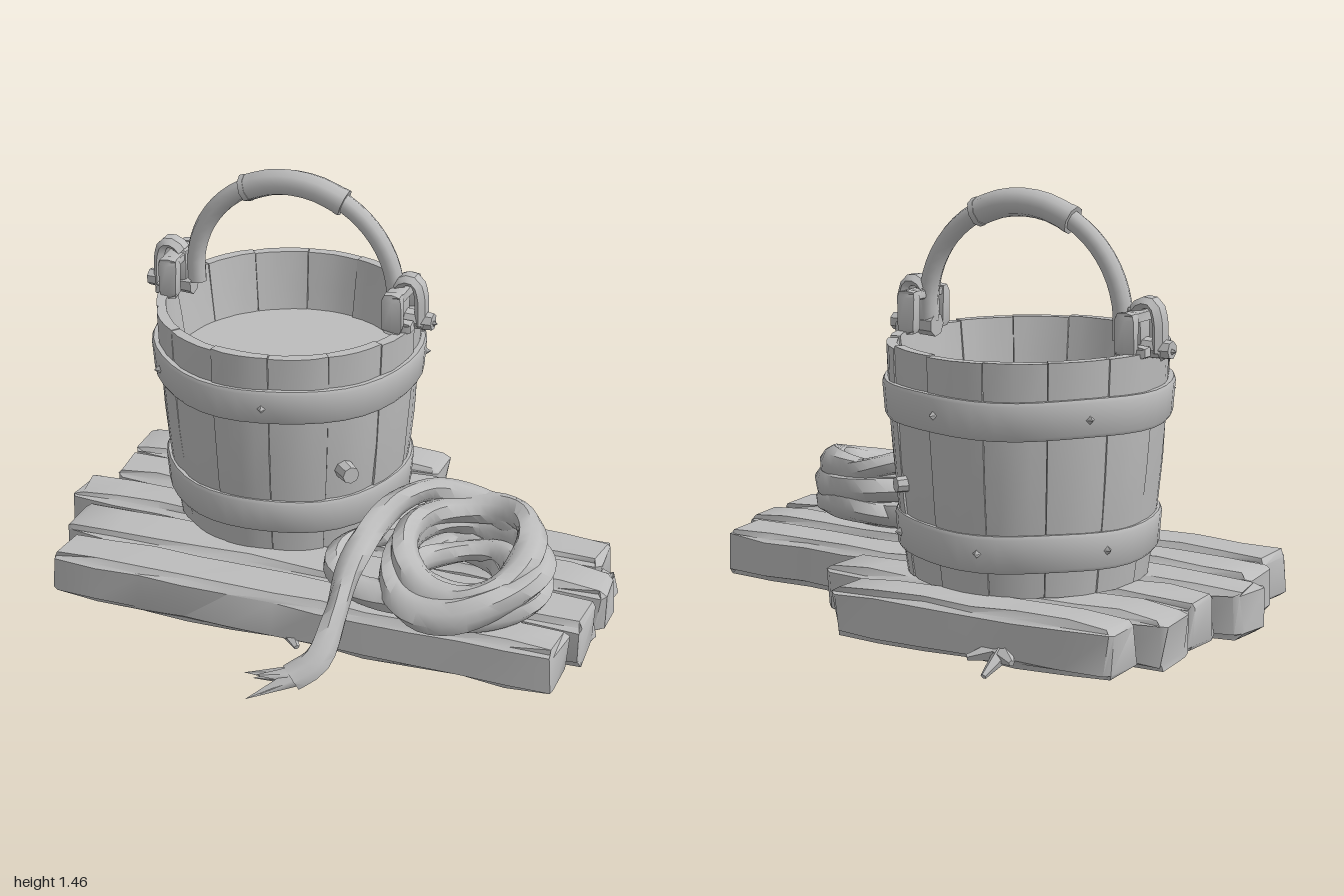
import * as THREE from 'three';
import { toCreasedNormals } from 'three/addons/utils/BufferGeometryUtils.js';

const CX = -0.25, CZ = -0.245; // bucket axis

// Repeatable noise in -1..1 from a position, so shared corners stay together
function noise(x, y, z, k) {
  const q = (v) => Math.round(v * 500) / 500;
  const s = Math.sin(q(x) * 127.1 + q(y) * 311.7 + q(z) * 74.7 + k * 53.3) * 43758.5453;
  return (s - Math.floor(s)) * 2 - 1;
}

// Move every vertex by a rule, then restore normals with sharp creases
function warp(geo, rule, crease = 0.6) {
  const p = geo.attributes.position, v = new THREE.Vector3();
  for (let i = 0; i < p.count; i++) {
    v.fromBufferAttribute(p, i);
    rule(v, i);
    p.setXYZ(i, v.x, v.y, v.z);
  }
  return toCreasedNormals(geo, crease);
}

export function createModel() {
  const root = new THREE.Group();
  const grey = new THREE.MeshStandardMaterial({ color: 0xbcbcbc });
  grey.name = 'weathered grey';
  const greyOpen = new THREE.MeshStandardMaterial({ color: 0xbcbcbc, side: THREE.DoubleSide });
  greyOpen.name = 'weathered grey open';

  const add = (name, geo, parent = root, mat = grey) => {
    const m = new THREE.Mesh(geo, mat);
    m.name = name;
    parent.add(m);
    return m;
  };
  const group = (name, parent = root) => {
    const g = new THREE.Group();
    g.name = name;
    parent.add(g);
    return g;
  };
  const curveOf = (points, closed = false) =>
    new THREE.CatmullRomCurve3(points.map((p) => new THREE.Vector3(...p)), closed);

  // Worn block with rounded-off edges and chipped ends
  const block = (w, h, d, nx, k, amp, endAmp, bevel) => warp(new THREE.BoxGeometry(w, h, d, nx, 3, 3), (v) => {
    const { x, y, z } = v;
    const ex = Math.abs(x) > w / 2 - 1e-4, ey = Math.abs(y) > h / 2 - 1e-4, ez = Math.abs(z) > d / 2 - 1e-4;
    if (!ey) v.y *= 2.1;
    if (!ez) v.z *= 2.1;
    if (ey && ez) { v.y -= Math.sign(y) * bevel; v.z -= Math.sign(z) * bevel; }
    if (ex && (ey || ez)) v.x -= Math.sign(x) * bevel;
    if (ex && ey) v.y -= Math.sign(y) * bevel * 0.5;
    if (ex && ez) v.z -= Math.sign(z) * bevel * 0.5;
    v.x += noise(x, y, z, k) * (ex ? endAmp : amp);
    v.y += noise(x, y, z, k + 1) * amp;
    v.z += noise(x, y, z, k + 2) * amp;
  }, 0.7);

  // Pallet planks: [x min, x max, z min, z max, yaw]
  const pallet = group('pallet');
  [[-0.875, 0.945, 0.248, 0.44, 0], [-0.915, 0.985, 0.03, 0.243, 0], [-0.995, 0.99, -0.172, 0.015, 0],
    [-0.925, 0.92, -0.372, -0.178, 0], [-0.935, 0.335, -0.59, -0.378, 0], [-0.85, 0.175, -0.775, -0.592, 0.03],
  ].forEach(([x0, x1, z0, z1, yaw], i) => {
    const m = add('plank', block(x1 - x0, 0.178, z1 - z0, Math.round((x1 - x0) * 6), i * 7, 0.006, 0.014, 0.018), pallet);
    m.position.set((x0 + x1) / 2, 0.122, (z0 + z1) / 2);
    m.rotation.y = yaw;
  });
  // Broken tongue at the ragged plank end
  add('plankTongue', block(0.12, 0.1, 0.08, 2, 71, 0.01, 0.02, 0.015), pallet).position.set(0.9, 0.1, -0.225);

  // Splinters torn from the plank edges: [x, y, z, length, yaw, pitch]
  [[-0.46, 0.06, -0.78, 0.16, 0.1, 0.5], [-0.41, 0.07, -0.77, 0.12, 0.9, 0.2], [-0.49, 0.07, -0.775, 0.1, -0.9, 0.1],
    [0.02, 0.06, 0.42, 0.1, 2.4, 0.3], [0.9, 0.05, -0.22, 0.12, 1.7, 0.2], [0.28, 0.05, -0.5, 0.12, 1.5, 0.2],
  ].forEach(([x, y, z, len, yaw, pitch]) => {
    const geo = new THREE.CylinderGeometry(0.01, 0.04, len, 5).rotateX(-Math.PI / 2 - pitch).rotateY(-yaw);
    add('splinter', toCreasedNormals(geo, 0.3), pallet).position.set(x, y, z);
  });

  const bucket = group('bucket');
  bucket.position.set(CX, 0, CZ);
  const radiusAt = (y) => 0.4 + (y - 0.21) * 0.085 + 0.012 * Math.sin(((y - 0.21) / 0.77) * Math.PI);

  // Staves: a box bent into a slice of the bucket wall, thinner toward the rim
  const staves = 14;
  for (let i = 0; i < staves; i++) {
    const top = 0.977 + noise(i, 1, 2, 3) * 0.006, out = noise(i, 4, 5, 6) * 0.003;
    const geo = warp(new THREE.BoxGeometry(1, 1, 1, 4, 6, 1), (v) => {
      const edge = Math.abs(v.x) > 0.49;
      const a = ((i + v.x * 0.99) / staves) * Math.PI * 2;
      const y = 0.21 + (v.y + 0.5) * (top - 0.21);
      const r = radiusAt(y) + out - (v.z > 0 ? (edge ? 0.003 : 0) : 0.036 + (0.977 - y) * 0.1);
      const chip = noise(a, y, v.z, 9) * 0.002;
      v.set(Math.sin(a) * (r + chip), y, Math.cos(a) * (r + chip));
    }, 0.5);
    add('stave', geo, bucket);
  }

  // Liner closes the gaps between staves
  const liner = [[0.385, 0.22], [0.45, 0.96]].map(([r, y]) => new THREE.Vector2(r, y));
  add('liner', new THREE.LatheGeometry(liner, 48), bucket, greyOpen);
  add('bucketBase', new THREE.CylinderGeometry(0.39, 0.385, 0.03, 32), bucket).position.y = 0.235;
  add('water', new THREE.CircleGeometry(0.42, 40).rotateX(-Math.PI / 2), bucket).position.y = 0.765;

  // Hoops with rivets: [bottom, top, lower radius, upper radius, rivet angles]
  [[0.735, 0.86, 0.465, 0.481, [-0.85, 0.18, 1.9, 3.0, 4.1]], [0.295, 0.42, 0.425, 0.441, [2.4, 3.3, 4.3]],
  ].forEach(([y0, y1, r0, r1, angles], k) => {
    const profile = [[r0 - 0.03, y0], [r0, y0], [r0 + 0.008, y0 + 0.012], [r1, y1 - 0.012], [r1 - 0.006, y1], [r0 - 0.03, y1]];
    const geo = new THREE.LatheGeometry(profile.map(([r, y]) => new THREE.Vector2(r, y)), 40);
    add('hoop', warp(geo, (v) => { v.y += Math.sin(Math.atan2(v.x, v.z) * 5 + k) * 0.004; }), bucket);
    angles.forEach((a) => {
      const rivet = add('rivet', new THREE.ConeGeometry(0.022, 0.03, 4).rotateX(Math.PI / 2), bucket);
      rivet.position.set(Math.sin(a) * r1, (y0 + y1) / 2, Math.cos(a) * r1);
      rivet.rotation.y = a;
    });
  });

  // Bungs on the wall: [angle, height, distance from axis, radius]
  [[0.82, 0.53, 0.45, 0.036], [2.53, 0.53, 0.43, 0.03]].forEach(([a, y, r, size]) => {
    const bung = add('bung', toCreasedNormals(new THREE.CylinderGeometry(size * 0.85, size, 0.08, 8).rotateX(Math.PI / 2), 0.6), bucket);
    bung.position.set(Math.sin(a) * r, y, Math.cos(a) * r);
    bung.rotation.y = a;
  });

  // Lugs holding the handle, the second turned half round
  const hook = curveOf([[0.4, 1.11, 0], [0.425, 1.135, 0], [0.465, 1.132, 0], [0.483, 1.09, 0], [0.487, 0.98, 0]]);
  [0, Math.PI].forEach((turn) => {
    const lug = group('handleLug', bucket);
    lug.rotation.y = turn;
    const part = (name, w, h, d, x, y, z, k) =>
      add(name, block(w, h, d, 2, k, 0.003, 0.003, 0.006), lug).position.set(x, y, z);
    [-1, 1].forEach((s) => {
      part('lugLeg', 0.07, 0.145, 0.045, 0.415, 1.04, s * 0.09, 40);
      part('lugFoot', 0.07, 0.035, 0.05, 0.44, 0.985, s * 0.06, 49);
    });
    part('lugBar', 0.065, 0.035, 0.19, 0.415, 1.095, 0, 51);
    part('lugPost', 0.06, 0.14, 0.06, 0.405, 1.05, 0, 53);
    add('hook', warp(new THREE.TubeGeometry(hook, 10, 0.022, 6), (v) => { v.z *= 1.8; }), lug, greyOpen);
    const pin = add('pin', toCreasedNormals(new THREE.CylinderGeometry(0.03, 0.04, 0.17, 7).rotateZ(-Math.PI / 2), 0.6), lug);
    pin.position.set(0.445, 0.99, 0);
    const tip = add('pinTip', new THREE.ConeGeometry(0.035, 0.05, 5).rotateZ(-Math.PI / 2), lug);
    tip.position.set(0.52, 0.985, 0);
  });

  // Arched handle with a thicker grip
  const arch = (a0, a1, n) => curveOf(Array.from({ length: n }, (_, i) => {
    const a = a0 + ((a1 - a0) * i) / (n - 1);
    return [0.02 + Math.cos(a) * 0.372, 1.06 + Math.sin(a) * 0.365, 0];
  }));
  add('handle', new THREE.TubeGeometry(arch(-0.15, Math.PI + 0.15, 13), 32, 0.034, 8), bucket);
  const gripCurve = arch(1.08, Math.PI - 1.08, 5);
  add('grip', new THREE.TubeGeometry(gripCurve, 8, 0.047, 8), bucket);
  [0, 1].forEach((t) => {
    const end = add('gripEnd', new THREE.CylinderGeometry(0.049, 0.049, 0.02, 8), bucket);
    end.position.copy(gripCurve.getPoint(t));
    end.quaternion.setFromUnitVectors(new THREE.Vector3(0, 1, 0), gripCurve.getTangent(t));
  });

  // Rope: a tube with a twisted, lumpy cross-section
  const rope = group('rope');
  const strand = (name, points, radius, closed) => {
    const curve = curveOf(points, closed);
    const segs = Math.round(curve.getLength() / 0.035), sides = 8;
    const geo = new THREE.TubeGeometry(curve, segs, radius, sides, closed);
    const c = new THREE.Vector3();
    add(name, warp(geo, (v, i) => {
      const ring = Math.floor(i / (sides + 1)), j = (i % (sides + 1)) % sides;
      curve.getPointAt(ring / segs, c);
      const twist = closed ? (Math.PI * 2 * Math.round(segs / 14) * ring) / segs : ring * 0.45;
      v.sub(c).multiplyScalar(1 + 0.14 * Math.cos((j / sides) * Math.PI * 4 + twist)).add(c);
    }, 0.9), rope, closed ? grey : greyOpen);
  };
  // Coils: [centre x, centre z, radius x, radius z, height, thickness, lean]
  [[0.4, 0.16, 0.3, 0.22, 0.265, 0.05, 0.02], [0.55, 0.17, 0.235, 0.275, 0.32, 0.056, -0.12],
    [0.55, 0.15, 0.21, 0.24, 0.37, 0.05, -0.2], [0.55, 0.18, 0.16, 0.18, 0.3, 0.042, 0.1],
    [0.56, 0.16, 0.225, 0.265, 0.262, 0.05, 0],
  ].forEach(([x, z, rx, rz, y, t, lean], k) => {
    strand('ropeCoil', Array.from({ length: 14 }, (_, i) => {
      const a = (i / 14) * Math.PI * 2;
      const wob = 1 + 0.03 * Math.sin(a * 3 + k * 2);
      const dz = Math.sin(a) * rz * wob;
      return [x + Math.cos(a) * rx * wob, y + dz * lean + 0.015 * Math.sin(a * 2 + k), z + dz];
    }), t, true);
  });
  // Loose tail falling over the front plank
  strand('ropeTail', [[0.66, 0.37, -0.06], [0.52, 0.41, -0.1], [0.37, 0.455, -0.06], [0.275, 0.45, 0.06], [0.23, 0.41, 0.22],
    [0.21, 0.34, 0.38], [0.215, 0.24, 0.52], [0.2, 0.14, 0.64], [0.13, 0.09, 0.7]], 0.044, false);

  // Frayed threads: [x, y, z] of each tip
  const from = new THREE.Vector3(0.15, 0.095, 0.685);
  [[0.02, 0.06, 0.83], [-0.02, 0.1, 0.74], [-0.01, 0.05, 0.69], [0.06, 0.07, 0.8], [0.03, 0.12, 0.77]].forEach((p) => {
    const dir = new THREE.Vector3(...p).sub(from), len = dir.length();
    const thread = add('frayedThread', new THREE.ConeGeometry(0.035, len, 5).translate(0, len / 2, 0), rope);
    thread.position.copy(from);
    thread.quaternion.setFromUnitVectors(new THREE.Vector3(0, 1, 0), dir.normalize());
  });

  return root;
}
